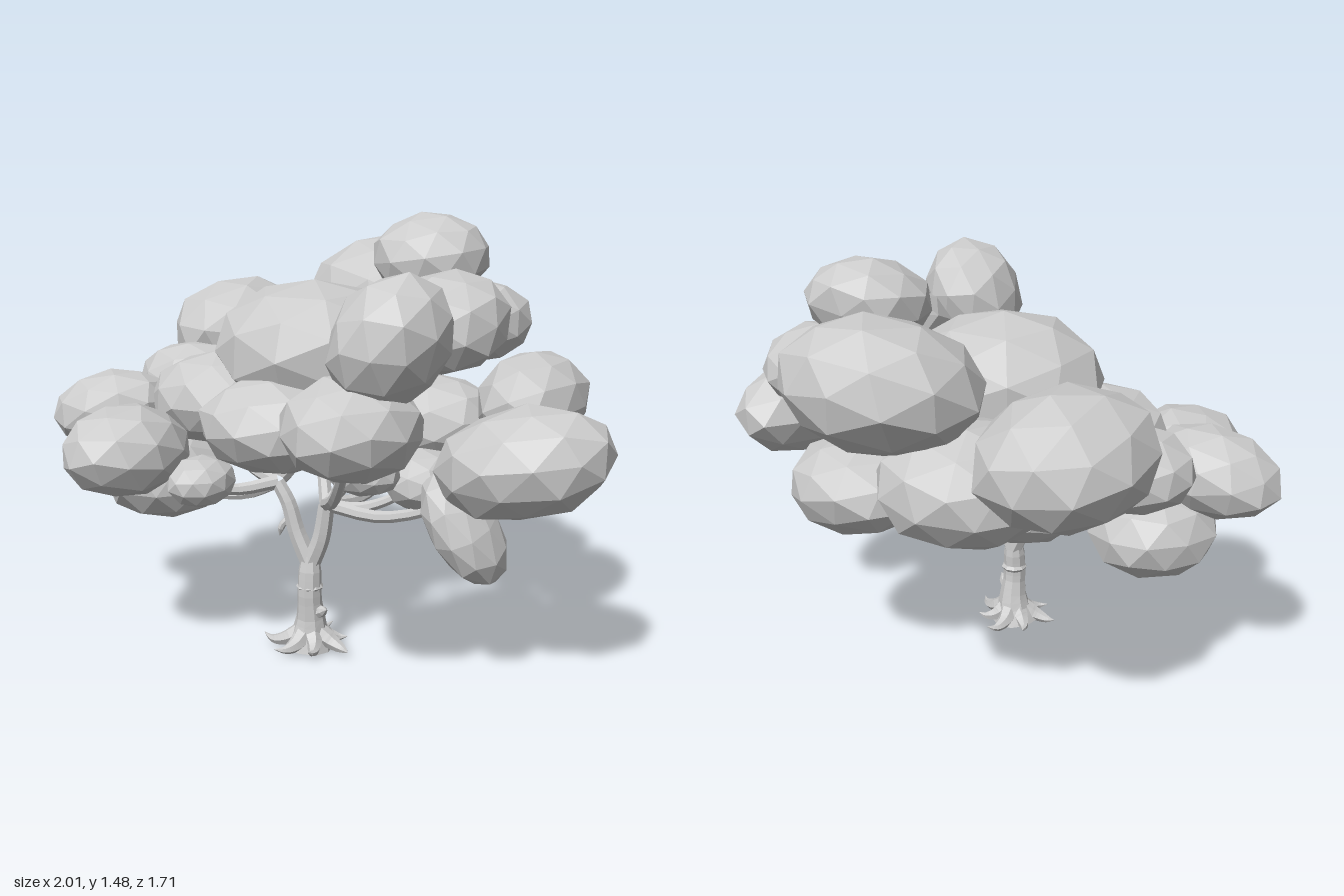
import * as THREE from 'three';

const material = new THREE.MeshStandardMaterial({ color: 0xcccccc, flatShading: true });
const v = (p) => new THREE.Vector3(...p);

// Leaf clumps: centre x, y, z, half width, half depth; heights follow from these
const clumps = [
  // crown
  [-0.07, 1.03, 0.03, 0.34, 0.33],
  [0, 1.16, -0.57, 0.32, 0.29],
  [0.24, 1.33, -0.3, 0.21, 0.2],
  [0.41, 1.15, 0.05, 0.2, 0.25],
  [0.4, 1.1, -0.33, 0.2, 0.22],
  [-0.56, 1.0, -0.43, 0.26, 0.33],
  // left side
  [0.29, 0.91, 0.62, 0.21, 0.24],
  [0.66, 0.87, -0.14, 0.18, 0.31],
  [0.73, 0.77, 0.31, 0.28, 0.22],
  [0.37, 0.64, 0.16, 0.14, 0.15],
  [0.22, 0.69, 0.33, 0.12, 0.09],
  // right side
  [-0.56, 0.73, 0.48, 0.2, 0.23],
  [-0.78, 0.79, 0.19, 0.23, 0.18],
  [-0.6, 0.56, 0.14, 0.21, 0.24],
  [-0.37, 0.86, 0.16, 0.24, 0.22],
  [-0.12, 0.81, 0.28, 0.25, 0.22],
  [-0.32, 0.63, 0.41, 0.11, 0.13],
  [-0.6, 0.86, -0.1, 0.22, 0.19],
  // back, low
  [0.25, 0.72, -0.36, 0.25, 0.23],
  [-0.24, 0.87, -0.48, 0.28, 0.27],
  [-0.28, 0.72, -0.2, 0.21, 0.19],
];

// Faceted ellipsoid, each with its facets turned a different way
function leafClump(turn, centre, radii, tiltX, tiltZ) {
  const geo = new THREE.IcosahedronGeometry(1.02, 1);
  geo.rotateY(turn * 1.7).rotateX(turn * 0.9);
  const p = geo.attributes.position;
  for (let k = 0; k < p.count; k++) {
    const [x, y, z] = [p.getX(k), p.getY(k), p.getZ(k)];
    const s = 1 + 0.035 * Math.sin(5 * x + turn) * Math.cos(4 * y - 3 * z + turn);
    p.setXYZ(k, x * s, y * s, z * s);
  }
  geo.scale(...radii).rotateX(tiltX).rotateZ(tiltZ);
  geo.computeVertexNormals();
  const mesh = new THREE.Mesh(geo, material);
  mesh.position.set(...centre);
  mesh.name = 'leafClump';
  return mesh;
}

// Tube along a curve whose radius follows evenly spaced values
function limb(name, points, radii, sides = 7) {
  const curve = new THREE.CatmullRomCurve3(points.map(v));
  const steps = points.length * 3;
  const geo = new THREE.TubeGeometry(curve, steps, 1, sides, false);
  const p = geo.attributes.position;
  const q = new THREE.Vector3();
  for (let i = 0; i <= steps; i++) {
    const c = curve.getPointAt(i / steps);
    const f = (i / steps) * (radii.length - 1);
    const a = Math.min(Math.floor(f), radii.length - 2);
    const r = THREE.MathUtils.lerp(radii[a], radii[a + 1], f - a);
    for (let j = 0; j <= sides; j++) {
      const k = i * (sides + 1) + j;
      q.fromBufferAttribute(p, k).sub(c).multiplyScalar(r).add(c);
      p.setXYZ(k, q.x, q.y, q.z);
    }
  }
  geo.computeVertexNormals();
  const mesh = new THREE.Mesh(geo, material);
  mesh.name = name;
  return mesh;
}

// Bough from a fork into a clump, setting off sideways and then rising
function bough(fork, clump) {
  const end = clump.slice(0, 3);
  const at = (t, sag) => fork.map((n, i) => n + (end[i] - n) * t - (i === 1 ? sag : 0));
  const sag = 0.12 * Math.hypot(end[0] - fork[0], end[2] - fork[2]);
  return limb('bough', [fork, at(0.3, sag), at(0.65, sag), end], [0.024, 0.018, 0.012]);
}

export function createModel() {
  const tree = new THREE.Group();
  tree.name = 'tree';

  const foliage = new THREE.Group();
  foliage.name = 'foliage';
  clumps.forEach(([x, y, z, rx, rz], i) => {
    // Side clumps droop inwards, wide ones most; rear crown lifts
    const tiltZ = (rx > rz && Math.abs(x) > 0.6) ? 0.25 * Math.sign(x) * (x > 0 ? 1 : -0.8) : 0;
    const tiltX = y > 1.1 ? 0.25 : 0;
    foliage.add(leafClump(i, [x, y, z], [rx, 0.69 * Math.sqrt(rx * rz), rz], tiltX, tiltZ));
  });
  // Two upright clumps: one standing above the front, one hanging low at the left
  foliage.add(leafClump(6, [0.39, 1.16, 0.58], [0.17, 0.21, 0.2], 0, -0.6));
  foliage.add(leafClump(10, [0.54, 0.53, 0.27], [0.1, 0.2, 0.17], 0, 0.6));
  tree.add(foliage);

  // Trunk with a flared foot
  tree.add(limb('trunk',
    [[-0.03, 0.008, 0.2], [-0.02, 0.1, 0.2], [-0.02, 0.2, 0.21], [-0.02, 0.34, 0.2]],
    [0.085, 0.062, 0.05, 0.043, 0.042, 0.04, 0.03], 9));

  // Collar and broken twigs
  const collar = new THREE.Mesh(new THREE.TorusGeometry(0.036, 0.012, 5, 9), material);
  collar.name = 'collar';
  collar.rotation.x = Math.PI / 2;
  collar.position.set(-0.02, 0.23, 0.205);
  tree.add(collar);
  tree.add(limb('stub', [[-0.01, 0.13, 0.2], [0.03, 0.15, 0.22], [0.055, 0.165, 0.24]], [0.035, 0.025, 0.018, 0.001]));
  tree.add(limb('twig', [[-0.09, 0.47, 0.2], [-0.12, 0.44, 0.21], [-0.13, 0.4, 0.21]], [0.014, 0.013, 0.012, 0.001]));

  // Roots spread around the foot, with uneven lengths
  [0.17, 0.13, 0.15, 0.17, 0.14, 0.16, 0.13].forEach((len, i) => {
    const a = (i / 7) * Math.PI * 2 + 0.1;
    const at = (r, y, turn) => [-0.02 + r * Math.cos(a + turn), y, 0.2 + r * Math.sin(a + turn)];
    tree.add(limb('root',
      [at(0.02, 0.07, 0), at(len * 0.5, 0.035, 0), at(len * 0.8, 0.025, 0.12), at(len, 0.03 + 0.008 * (i % 2), 0.25)],
      [0.035, 0.03, 0.018, 0.001], 6));
  });

  // Main fork, then boughs that carry the clumps
  const fork = [-0.02, 0.31, 0.2], left = [0.04, 0.53, 0.2], right = [-0.14, 0.59, 0.2];
  tree.add(limb('mainFork', [fork, [0.02, 0.41, 0.2], left], [0.034, 0.028]));
  tree.add(limb('mainFork', [fork, [-0.07, 0.42, 0.2], [-0.1, 0.52, 0.2], right], [0.034, 0.024]));
  [0, 3, 6, 8, 9, 18].forEach((i) => tree.add(bough(left, clumps[i])));
  [5, 11, 13, 17, 19].forEach((i) => tree.add(bough(right, clumps[i])));
  return tree;
}
